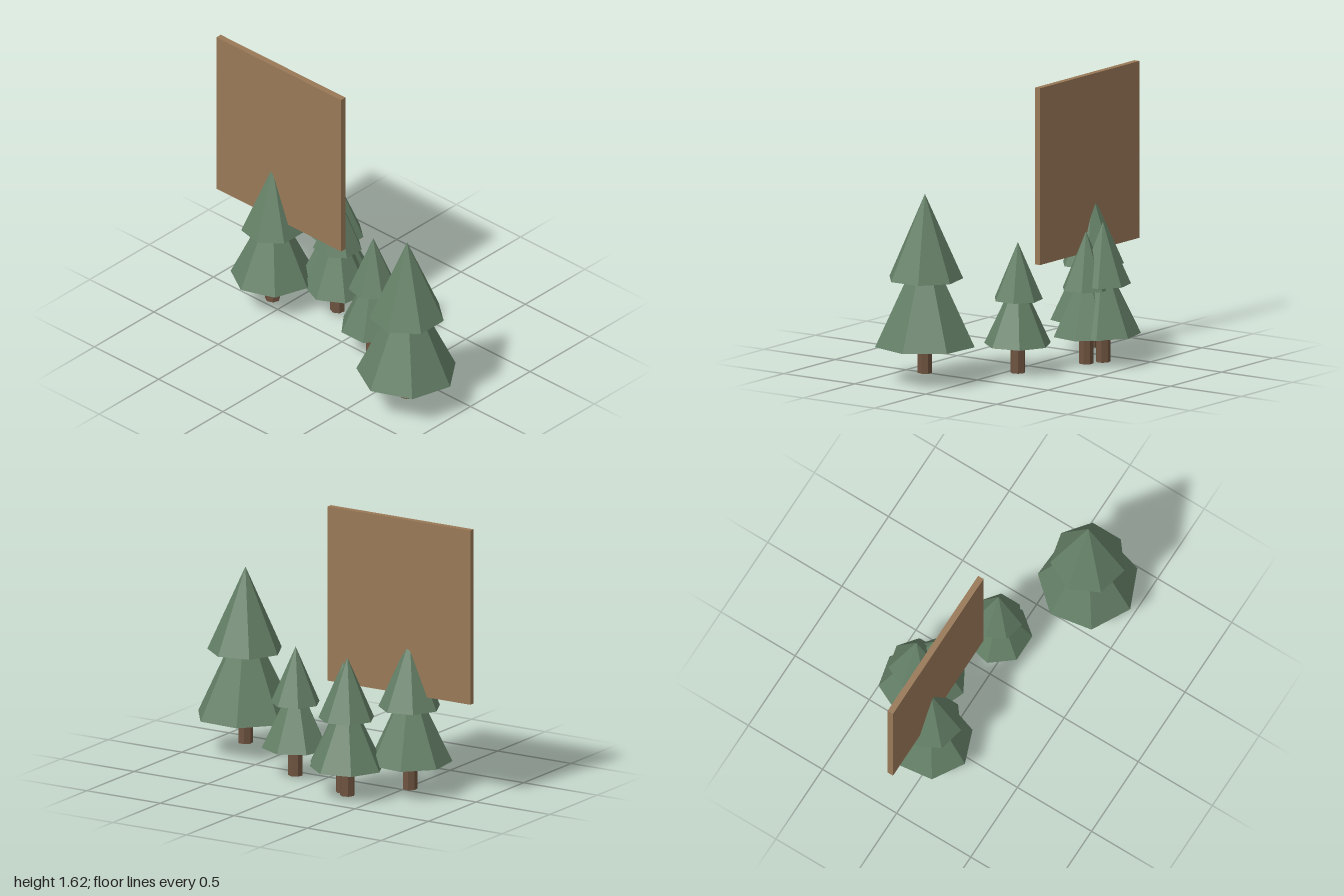
import * as THREE from 'three';

export function createModel() {
  const mat = (name, color) => {
    const m = new THREE.MeshStandardMaterial({ color, flatShading: true });
    m.name = name;
    return m;
  };
  const foliage = mat('foliage green', 0x647f66);
  const bark = mat('bark brown', 0x6e533f);
  const wood = mat('board tan', 0x997957);

  const SIDES = 7;
  const TRUNK_RADIUS = 0.043;
  const model = new THREE.Group();
  model.name = 'treesAndBoard';

  // Adds a mesh whose bottom sits at height y
  function add(parent, name, geometry, material, y, height, turn) {
    const mesh = new THREE.Mesh(geometry, material);
    mesh.name = name;
    mesh.position.y = y + height / 2;
    mesh.rotation.y = THREE.MathUtils.degToRad(turn);
    parent.add(mesh);
  }

  // Two stacked seven-sided cones on a trunk
  function addTree(t) {
    const tree = new THREE.Group();
    tree.name = t.name;
    tree.position.set(t.x, 0, t.z);
    const upperHeight = t.apex - t.upper;
    const lowerHeight = upperHeight * 1.25;
    const trunkHeight = t.lower - t.base + 0.06;
    add(tree, 'trunk', new THREE.CylinderGeometry(TRUNK_RADIUS, TRUNK_RADIUS, trunkHeight, SIDES),
      bark, t.base, trunkHeight, t.turn);
    add(tree, 'lowerFoliage', new THREE.ConeGeometry(t.r, lowerHeight, SIDES),
      foliage, t.lower, lowerHeight, t.turn);
    add(tree, 'upperFoliage', new THREE.ConeGeometry(t.r2, upperHeight, SIDES),
      foliage, t.upper, upperHeight, 180);
    model.add(tree);
  }

  // base, lower, upper and apex are heights; r and r2 are the tier radii
  [
    { name: 'largeFrontTree', x: -0.217, z: 0.708, base: 0.055, lower: 0.215, upper: 0.602, apex: 1.095, r: 0.292, r2: 0.219, turn: 164.3 },
    { name: 'smallMiddleTree', x: 0.061, z: 0.187, base: 0.003, lower: 0.168, upper: 0.43, apex: 0.762, r: 0.195, r2: 0.143, turn: 90 },
    { name: 'backTree', x: 0.036, z: -0.573, base: 0.028, lower: 0.19, upper: 0.51, apex: 0.92, r: 0.243, r2: 0.181, turn: 161.7 },
    { name: 'rightTree', x: 0.297, z: -0.317, base: 0.012, lower: 0.176, upper: 0.465, apex: 0.825, r: 0.217, r2: 0.16, turn: 180 },
    { name: 'innerTree', x: 0.229, z: -0.245, base: 0.006, lower: 0.17, upper: 0.44, apex: 0.774, r: 0.196, r2: 0.143, turn: 171 },
  ].forEach(addTree);

  // Upright board floating above the back trees
  const board = new THREE.Mesh(new THREE.BoxGeometry(0.036, 1.03, 0.97), wood);
  board.name = 'board';
  board.position.set(0.043, 1.107, -0.515);
  model.add(board);

  return model;
}
